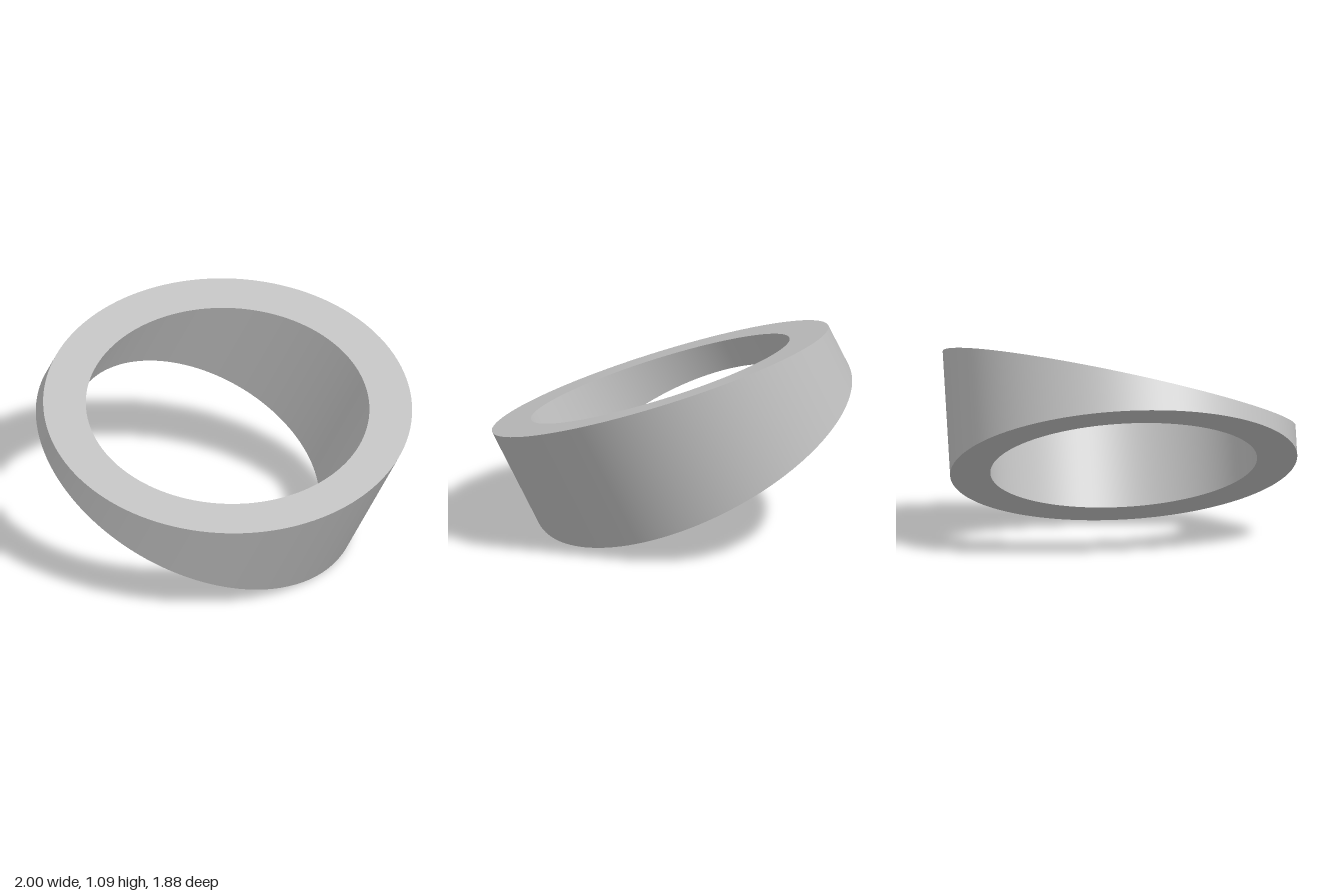
import * as THREE from 'three';

// A tube cut square at the bottom and at a slant on top, then tilted.
const OUTER = 0.9225, INNER = 0.709, HEIGHT = 0.431;
const CUT = THREE.MathUtils.degToRad(20);
const PITCH = THREE.MathUtils.degToRad(18.47);

export function createModel() {
  const model = new THREE.Group();
  const grey = new THREE.MeshStandardMaterial({ color: 0xc0c0c0 });
  grey.name = 'grey';

  const ring = new THREE.Group();
  ring.name = 'slantedRing';

  // One swept face between two profile corners; upper corners follow the slanted cut
  function addFace(name, r0, y0, r1, y1) {
    const geometry = new THREE.LatheGeometry(
      [new THREE.Vector2(r0, y0), new THREE.Vector2(r1, y1)], 128);
    const pos = geometry.attributes.position;
    for (let i = 0; i < pos.count; i++) {
      if (pos.getY(i) > 0) pos.setY(i, HEIGHT + pos.getX(i) * Math.tan(CUT));
    }
    if (name === 'topFace') geometry.computeVertexNormals();
    const mesh = new THREE.Mesh(geometry, grey);
    mesh.name = name;
    ring.add(mesh);
  }

  addFace('outerWall', OUTER, 0, OUTER, HEIGHT);
  addFace('topFace', OUTER, HEIGHT, INNER, HEIGHT);
  addFace('innerWall', INNER, HEIGHT, INNER, 0);
  addFace('bottomFace', INNER, 0, OUTER, 0);

  // Lean sideways, then pitch toward the front
  ring.rotation.set(PITCH, 0, -CUT);
  ring.position.set(-0.13, 0.416, -0.061);
  model.add(ring);
  return model;
}
